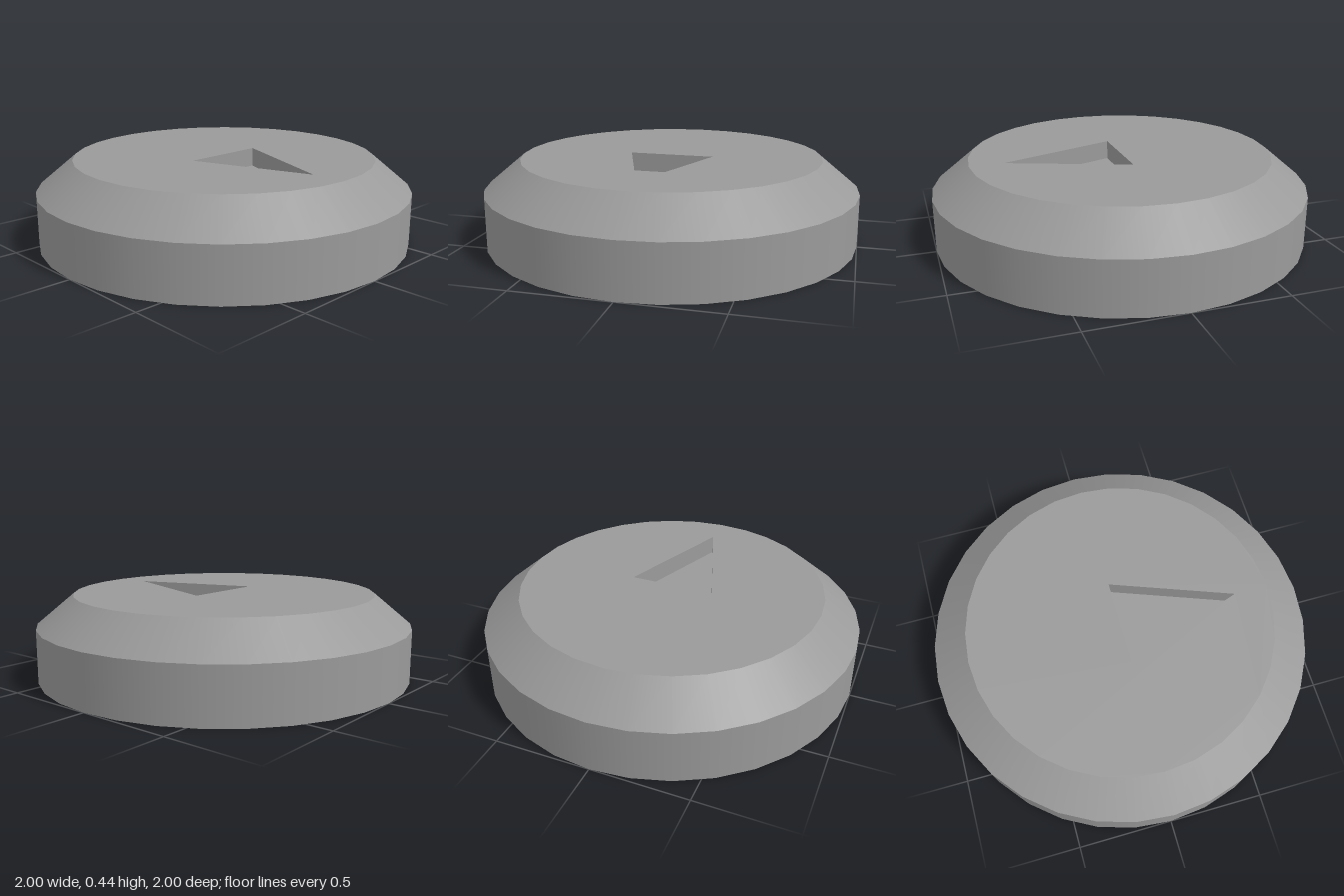
import * as THREE from 'three';

const SIDES = 32;
const RIM = 1, TOP_RADIUS = 0.805, SHOULDER = 0.28, HEIGHT = 0.442;
const material = new THREE.MeshStandardMaterial({ color: 0x9a9a9a });

function part(name, geometry) {
  const mesh = new THREE.Mesh(geometry, material);
  mesh.name = name;
  return mesh;
}

// Points of an arc around the origin, counter-clockwise
function arc(radius, from, to, steps) {
  return Array.from({ length: steps + 1 }, (_, i) => {
    const a = from + (to - from) * i / steps;
    return new THREE.Vector2(radius * Math.cos(a), radius * Math.sin(a));
  });
}

// Flat inward-facing walls going down from a counter-clockwise outline
function recessWalls(outline, depth) {
  const positions = [];
  outline.forEach((a, i) => {
    const b = outline[(i + 1) % outline.length];
    positions.push(a.x, a.y, 0, b.x, b.y, 0, b.x, b.y, -depth);
    positions.push(a.x, a.y, 0, b.x, b.y, -depth, a.x, a.y, -depth);
  });
  const geometry = new THREE.BufferGeometry();
  geometry.setAttribute('position', new THREE.Float32BufferAttribute(positions, 3));
  geometry.computeVertexNormals();
  return geometry;
}

// Round face, looking along +z, with a blind recess cut into it
function recessedFace(name, radius, recessName, outline, depth) {
  const group = new THREE.Group();
  group.name = name;
  const disc = new THREE.Shape(arc(radius, 0, Math.PI * 2, SIDES).slice(0, SIDES));
  disc.holes.push(new THREE.Path(outline));
  const floor = new THREE.ShapeGeometry(new THREE.Shape(outline)).translate(0, 0, -depth);
  group.add(
    part(name + 'Surface', new THREE.ShapeGeometry(disc)),
    part(recessName + 'Walls', recessWalls(outline, depth)),
    part(recessName + 'Floor', floor)
  );
  return group;
}

export function createModel() {
  const knob = new THREE.Group();
  knob.name = 'knob';

  // Straight rim and sloping shoulder
  const rim = part('rim', new THREE.CylinderGeometry(RIM, RIM, SHOULDER, SIDES, 1, true));
  rim.position.y = SHOULDER / 2;
  const rise = HEIGHT - SHOULDER;
  const shoulder = part('shoulder', new THREE.CylinderGeometry(TOP_RADIUS, RIM, rise, SIDES, 1, true));
  shoulder.position.y = SHOULDER + rise / 2;

  // Top with the triangular pointer recess
  const pointer = [[0, -0.225], [0.627, -0.008], [0, 0.225]].map(([x, y]) => new THREE.Vector2(x, y));
  const top = recessedFace('top', TOP_RADIUS, 'pointerRecess', pointer, 0.1);
  top.rotation.x = -Math.PI / 2;
  top.position.y = HEIGHT;

  // Underside with the shaft socket: a round hole with two flats
  const socketRadius = 0.313;
  const half = Math.asin(0.251 / socketRadius);
  const socket = [
    ...arc(socketRadius, -half, half, 6),
    ...arc(socketRadius, Math.PI - half, Math.PI + half, 6)
  ];
  const underside = recessedFace('underside', RIM, 'shaftSocket', socket, 0.24);
  underside.rotation.x = Math.PI / 2;

  knob.add(rim, shoulder, top, underside);
  return knob;
}
